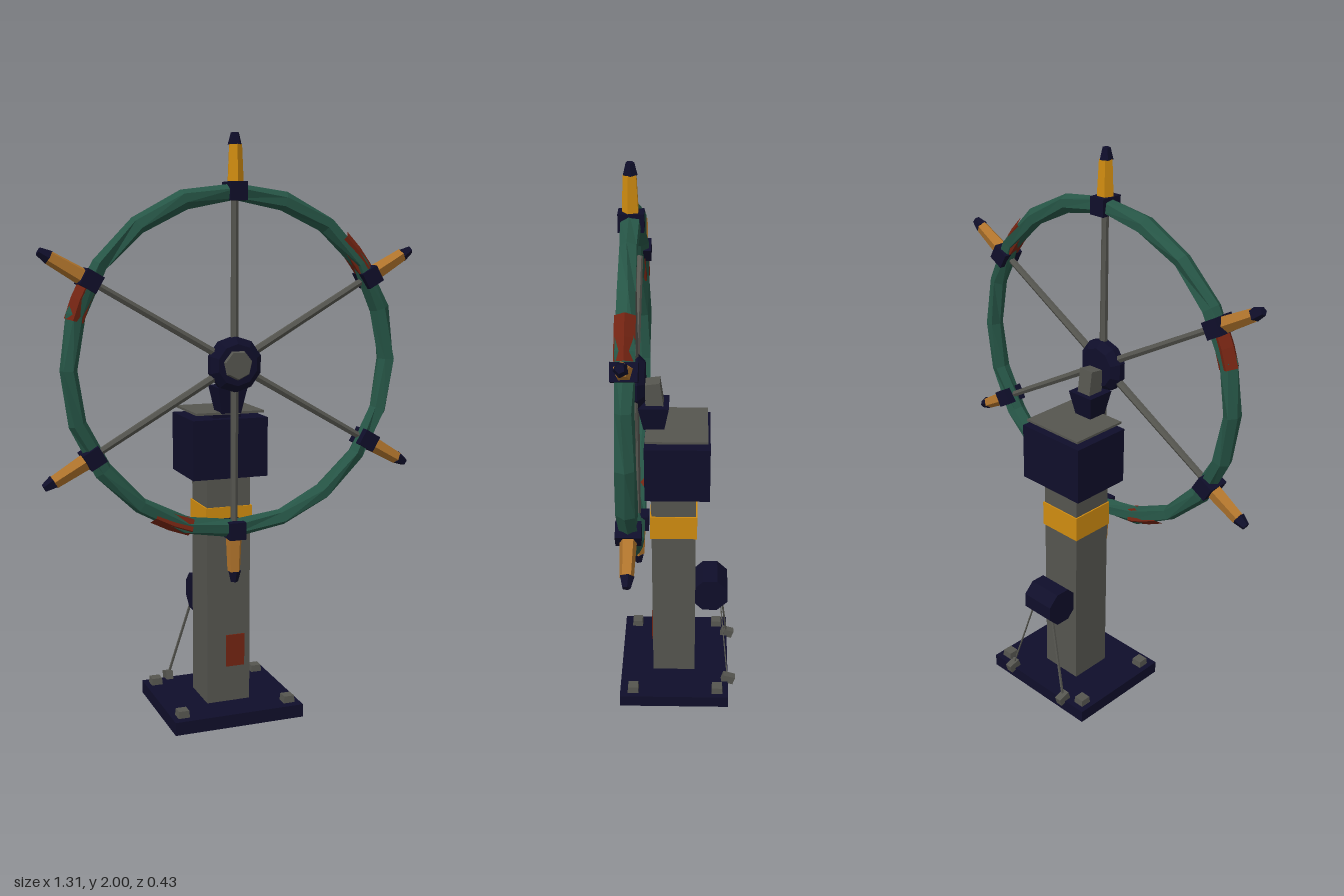
import * as THREE from 'three';

const mat = (name, color, extra = {}) => {
  const m = new THREE.MeshStandardMaterial({ color, flatShading: true, ...extra });
  m.name = name;
  return m;
};

export function createModel() {
  const navy = mat('navy', 0x0f0e2a);
  const grey = mat('grey', 0x55554f);
  const green = mat('green', 0x265546);
  const amber = mat('amber', 0xd08c10);
  const wood = mat('wood', 0xb0742c);
  const red = mat('red', 0x742412);

  const root = new THREE.Group();
  root.name = 'steeringStand';

  const add = (parent, name, geo, material, x = 0, y = 0, z = 0) => {
    const m = new THREE.Mesh(geo, material);
    m.name = name;
    m.position.set(x, y, z);
    parent.add(m);
    return m;
  };
  const box = (w, h, d) => new THREE.BoxGeometry(w, h, d);

  // Rod between two points
  const rod = (parent, name, a, b, r, material) => {
    const dir = b.clone().sub(a);
    const m = add(parent, name, new THREE.CylinderGeometry(r, r, dir.length(), 4), material);
    m.position.copy(a).add(b).multiplyScalar(0.5);
    m.quaternion.setFromUnitVectors(new THREE.Vector3(0, 1, 0), dir.normalize());
    return m;
  };

  // Base and post
  add(root, 'basePlate', box(0.47, 0.046, 0.405), navy, 0, 0.023, 0.011);
  add(root, 'post', box(0.158, 0.82, 0.158), grey, 0, 0.45, 0.014);
  add(root, 'postBand', box(0.168, 0.092, 0.168), amber, 0, 0.706, 0.014);
  add(root, 'servicePanel', box(0.068, 0.115, 0.006), red, 0.024, 0.232, 0.094);

  // Base bolts
  for (const x of [-0.195, 0.195]) for (const z of [-0.15, 0.165]) {
    const bolt = add(root, 'baseBolt', new THREE.CylinderGeometry(0.026, 0.029, 0.024, 4), grey, x, 0.058, z);
    bolt.rotation.y = Math.PI / 4;
  }

  // Gear box, cover plate and wheel support
  add(root, 'gearBox', box(0.27, 0.205, 0.226), navy, 0, 0.957, 0);
  add(root, 'coverPlate', box(0.245, 0.008, 0.215), grey, 0, 1.08, 0.003);
  add(root, 'coverSpacer', box(0.1, 0.02, 0.1), navy, 0, 1.067, 0.03);
  const support = add(root, 'axleSupport', new THREE.CylinderGeometry(0.074, 0.05, 0.09, 4), navy, 0, 1.125, 0.082);
  support.rotation.y = Math.PI / 4;
  const axle = add(root, 'axleBlock', box(0.056, 0.09, 0.06), grey, 0, 1.207, 0.084);
  axle.rotation.x = 0.14;

  // Winch drum and its stay cables
  const drum = add(root, 'winchDrum', new THREE.CylinderGeometry(0.07, 0.07, 0.13, 8), navy, 0, 0.39, -0.12);
  drum.rotation.set(Math.PI / 8, 0, Math.PI / 2, 'XYZ');
  for (const s of [-1, 1]) {
    const foot = new THREE.Vector3(s * 0.135, 0.055, -0.19);
    rod(root, 'stayCable', new THREE.Vector3(s * 0.045, 0.37, -0.157), foot, s < 0 ? 0.005 : 0.003, grey);
    const anchor = add(root, 'cableAnchor', box(0.026, 0.032, 0.046), grey, foot.x, 0.055, -0.192);
    anchor.rotation.x = -0.3;
  }

  // Wheel
  const wheel = new THREE.Group();
  wheel.name = 'wheel';
  wheel.position.set(0, 1.25, 0.146);
  root.add(wheel);

  // Rim with a slightly uneven, hand-carved cross-section
  const R = 0.563;
  const rimGeo = new THREE.TorusGeometry(R, 0.034, 6, 20);
  const p = rimGeo.attributes.position;
  for (let i = 0; i < p.count; i++) {
    const j = Math.floor(i / 21) % 6, k = (i % 21) % 20;
    const r = 0.033 + 0.004 * Math.sin(k * 2.3 + j * 1.9);
    const t = (k / 20) * Math.PI * 2;
    const a = (j / 6) * Math.PI * 2 + 0.25 * Math.sin(k * 1.7);
    const d = R + r * 0.92 * Math.cos(a);
    p.setXYZ(i, d * Math.cos(t), d * Math.sin(t), r * Math.sin(a));
  }
  rimGeo.computeVertexNormals();
  add(wheel, 'rim', rimGeo, green);

  // Worn red patches showing through the rim
  for (const deg of [40, 157, 247]) {
    const arc = 0.24;
    const patch = add(wheel, 'rimPatch', new THREE.TorusGeometry(R, 0.0335, 5, 2, arc), red);
    patch.rotation.z = THREE.MathUtils.degToRad(deg) - arc / 2;
  }

  // Hub: bevelled disc with a grey cap
  const hubProfile = [[0, -0.036], [0.07, -0.036], [0.094, -0.012], [0.094, 0.012], [0.07, 0.034], [0, 0.034]]
    .map(([x, y]) => new THREE.Vector2(x, y));
  const hub = add(wheel, 'hub', new THREE.LatheGeometry(hubProfile, 10), navy);
  hub.rotation.x = Math.PI / 2;
  const cap = add(wheel, 'hubCap', new THREE.CylinderGeometry(0.046, 0.054, 0.014, 7), grey, 0, 0, 0.036);
  cap.rotation.x = Math.PI / 2;

  // Six spokes, each with a collar, a handle and a tip; the top handle is amber
  for (let i = 0; i < 6; i++) {
    const arm = new THREE.Group();
    arm.name = 'spokeArm';
    arm.rotation.z = (i * Math.PI) / 3;
    wheel.add(arm);
    add(arm, 'spoke', new THREE.CylinderGeometry(0.012, 0.014, 0.47, 6), grey, 0, 0.315, 0);
    add(arm, 'collar', box(0.058, 0.06, 0.082), navy, 0, R + 0.002, 0);
    const handle = add(arm, 'handle', new THREE.CylinderGeometry(0.023, 0.029, 0.125, 5), i === 0 ? amber : wood, 0, 0.65, 0);
    handle.rotation.y = i * 0.7;
    const tip = add(arm, 'handleTip', new THREE.CylinderGeometry(0.014, 0.024, 0.038, 5), navy, 0, 0.731, 0);
    tip.rotation.y = i * 0.7 + 0.4;
  }

  return root;
}
